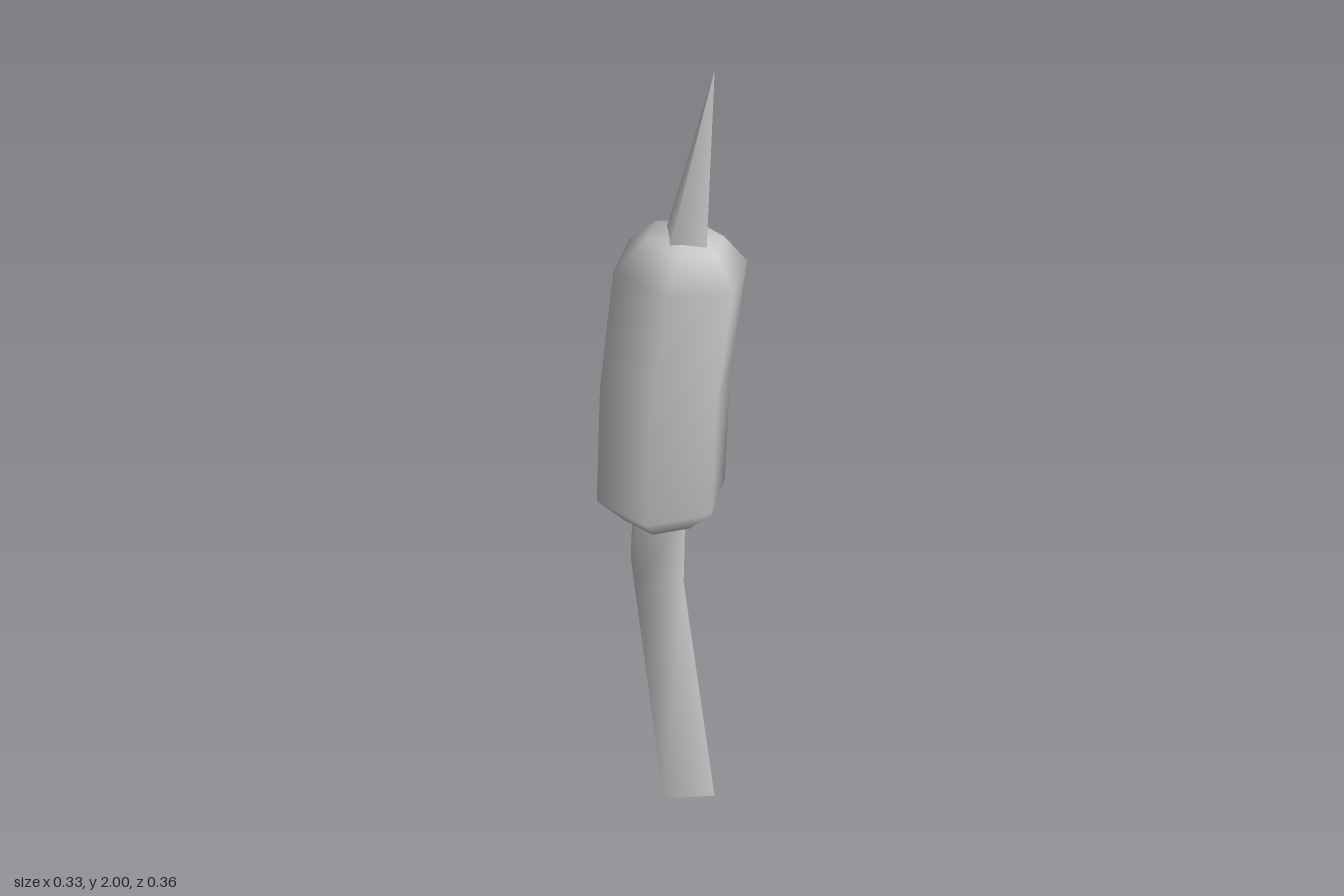
import * as THREE from 'three';

const grey = new THREE.MeshStandardMaterial({ color: 0xc4c4c4 });
grey.name = 'plain grey';

// Smooth loft through rings [x, y, z, radius, tilt]; tilt is the rise in y per unit of x.
function loft(name, rings, sides, turn) {
  const points = [];
  const faces = [];
  rings.forEach(([x, y, z, r, tilt = 0], k) => {
    for (let i = 0; i < sides; i++) {
      const a = turn + (i / sides) * Math.PI * 2;
      const dx = r * Math.cos(a);
      points.push(x + dx, y + tilt * dx, z + r * Math.sin(a));
      if (k === 0) continue;
      const j = (i + 1) % sides;
      const low = (k - 1) * sides;
      const high = k * sides;
      if (rings[k - 1][3] > 0) faces.push(low + i, high + i, low + j);
      if (r > 0) faces.push(low + j, high + i, high + j);
    }
  });
  const geometry = new THREE.BufferGeometry();
  geometry.setAttribute('position', new THREE.Float32BufferAttribute(points, 3));
  geometry.setIndex(faces);
  geometry.computeVertexNormals();
  const mesh = new THREE.Mesh(geometry, grey);
  mesh.name = name;
  return mesh;
}

// Flat underside matching the first ring of a loft
function endCap(name, [x, y, z, r], sides, turn) {
  const geometry = new THREE.CircleGeometry(r, sides, turn);
  geometry.rotateX(Math.PI / 2);
  geometry.translate(x, y, z);
  const mesh = new THREE.Mesh(geometry, grey);
  mesh.name = name;
  return mesh;
}

export function createModel() {
  const group = new THREE.Group();
  group.name = 'reed';
  const turn = 0.475;

  // Bent four-sided stem running up into the seed head
  const stem = [
    [0.048, 0, 0.028, 0.093],
    [-0.032, 0.65, 0.018, 0.086],
    [-0.027, 0.84, 0.014, 0.083],
    [-0.02, 1.0, 0.01, 0.08],
  ];
  group.add(loft('stem', stem, 4, turn));
  group.add(endCap('stemBase', stem[0], 4, turn));

  // Leaning six-sided seed head with rounded ends
  group.add(loft('seedHead', [
    [-0.022, 0.805, 0.012, 0],
    [-0.022, 0.815, 0.013, 0.095],
    [-0.022, 0.885, 0.013, 0.164],
    [-0.013, 1.2, 0, 0.164],
    [0.02, 1.497, -0.014, 0.164, -0.09],
    [0.032, 1.572, -0.014, 0.095, -0.14],
    [0.034, 1.588, -0.013, 0],
  ], 6, Math.PI / 6));

  // Thin leaning spike at the top
  const spike = [[0.033, 1.57, -0.01, 0.062], [0.095, 2, -0.022, 0]];
  group.add(loft('spike', spike, 4, turn));

  return group;
}
